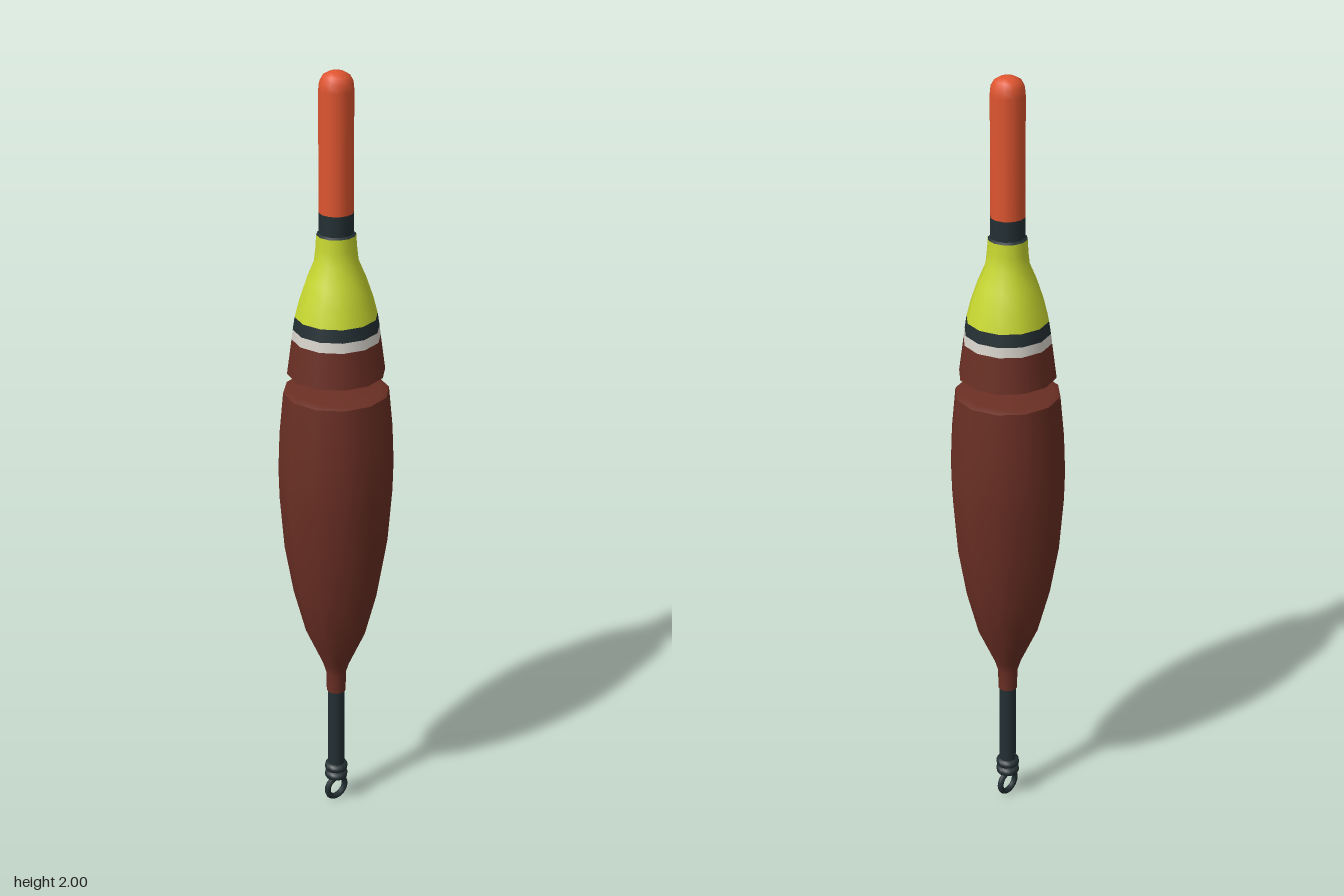
import * as THREE from 'three';

export function createModel() {
  const group = new THREE.Group();
  group.name = 'fishingFloat';

  const material = (name, color) => {
    const m = new THREE.MeshStandardMaterial({ color });
    m.name = name;
    return m;
  };
  const brown = material('brown', 0x6a2f24);
  const yellow = material('yellow', 0xc8d830);
  const orange = material('orange', 0xdf5530);
  const black = material('black', 0x243034);
  const white = material('white', 0xd8d4cc);

  const add = (name, geometry, mat) => {
    const mesh = new THREE.Mesh(geometry, mat);
    mesh.name = name;
    group.add(mesh);
    return mesh;
  };

  // Twelve-sided turned part; points are [radius, height], bottom to top
  const turn = (name, mat, points) =>
    add(name, new THREE.LatheGeometry(points.map(([r, y]) => new THREE.Vector2(r, y)), 12), mat);

  // Line eye at the bottom
  add('lineEye', new THREE.TorusGeometry(0.029, 0.008, 8, 20), black).position.y = 0.037;

  // Stem with two binding rings
  turn('stem', black, [[0.022, 0.07], [0.022, 0.35]]);
  turn('stemEnd', black, [[0, 0.07], [0.022, 0.07]]);
  for (const y of [0.082, 0.106]) {
    turn('bindingRing', black, [[0.02, y - 0.012], [0.029, y - 0.008], [0.031, y], [0.029, y + 0.008], [0.02, y + 0.012]]);
  }

  // Main body
  turn('bodySocketEnd', brown, [[0, 0.345], [0.025, 0.345]]);
  turn('body', brown, [
    [0.025, 0.345], [0.026, 0.4], [0.035, 0.43], [0.079, 0.53], [0.11, 0.65],
    [0.132, 0.78], [0.143, 0.92], [0.145, 1.0], [0.141, 1.1], [0.131, 1.205],
  ]);
  turn('bodyShoulder', brown, [[0.131, 1.205], [0.115, 1.212], [0.036, 1.222]]);
  turn('neck', brown, [[0.036, 1.2], [0.036, 1.26]]);

  // Upper cone with painted bands
  turn('coneUnderside', brown, [[0, 1.255], [0.121, 1.255]]);
  turn('coneBase', brown, [[0.121, 1.255], [0.109, 1.345]]);
  turn('whiteBand', white, [[0.109, 1.345], [0.106, 1.37]]);
  turn('blackBand', black, [[0.106, 1.37], [0.101, 1.402]]);
  turn('yellowCone', yellow, [
    [0.101, 1.402], [0.09, 1.445], [0.073, 1.495], [0.054, 1.54], [0.05, 1.575], [0.048, 1.607],
  ]);
  turn('coneTop', black, [[0.048, 1.607], [0.041, 1.612]]);

  // Antenna with rounded tip
  turn('antennaCollar', black, [[0.042, 1.6], [0.042, 1.662]]);
  turn('antenna', orange, [
    [0.042, 1.662], [0.042, 1.955], [0.04, 1.975], [0.032, 1.989], [0.018, 1.997], [0, 2.0],
  ]);

  return group;
}
